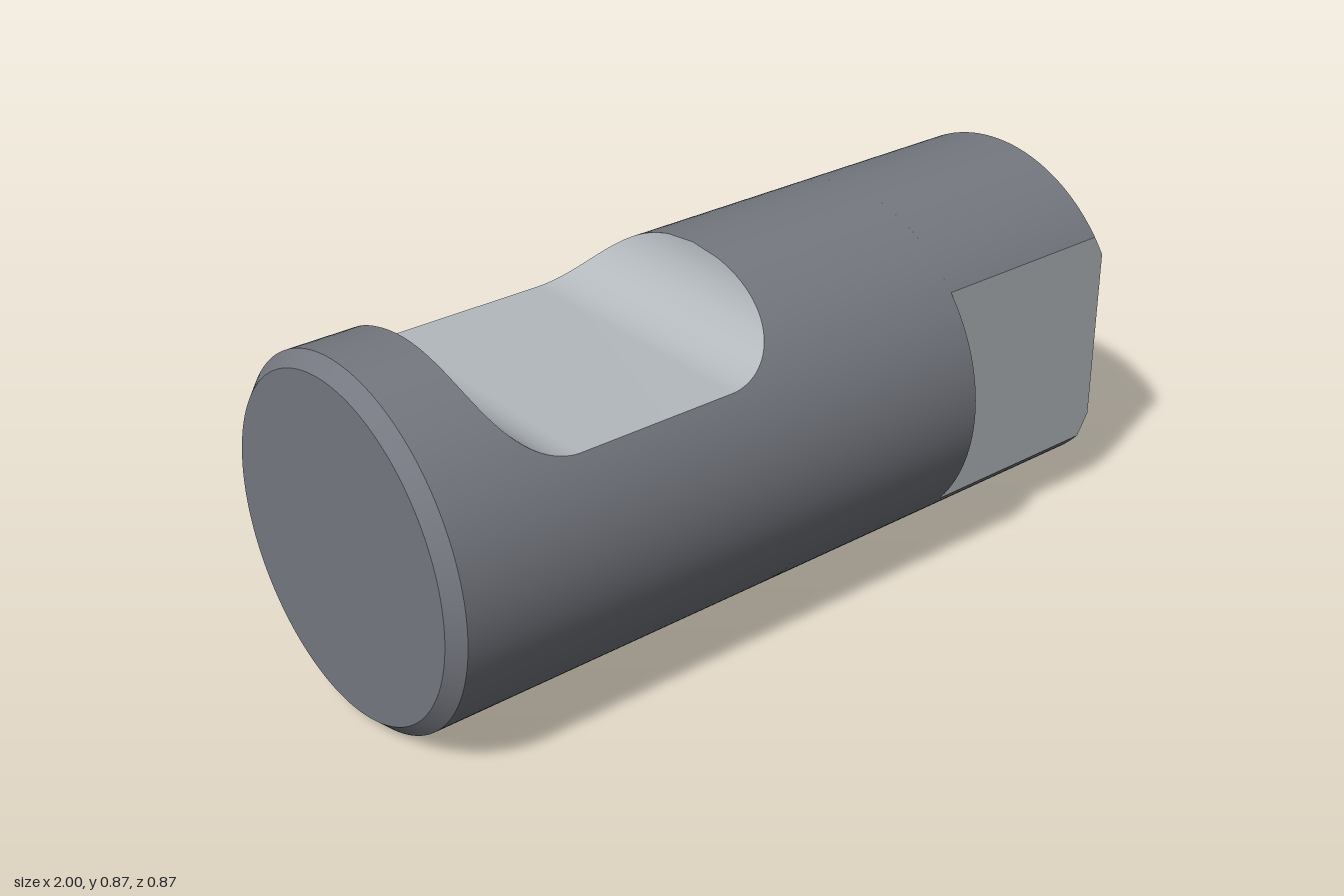
import * as THREE from 'three';

const R = 0.433, CH = 0.033;            // shaft radius, end chamfer
const NOTCH = [-0.8, -0.032], DEPTH = 0.183;
const FLAT_X = 0.469, FLAT_Z = 0.333;
const ARC = 160, UP = Math.PI / 2, FRONT = 0;

// Quad strip surface between rows of [x, y, z] points
function surface(rows, normalAt) {
  const n = rows[0].length, pos = rows.flat(2), index = [];
  for (let i = 0; i < rows.length - 1; i++) {
    for (let j = 0; j < n - 1; j++) {
      const a = i * n + j, b = a + n;
      index.push(a, b, b + 1, a, b + 1, a + 1);
    }
  }
  const g = new THREE.BufferGeometry();
  g.setAttribute('position', new THREE.Float32BufferAttribute(pos, 3));
  g.setIndex(index);
  if (normalAt) {
    g.setAttribute('normal', new THREE.Float32BufferAttribute(rows.flat().flatMap(normalAt), 3));
  } else g.computeVertexNormals();
  return g;
}

// Points on a circle about the shaft axis, angle measured from +z towards +y
const arcRow = (x, r, from, to, n) => Array.from({ length: n + 1 }, (_, j) => {
  const t = from + (to - from) * j / n;
  return [x, r * Math.sin(t), r * Math.cos(t)];
});

// Half angle removed from a circle of radius r by a plane at distance h
const cutAngle = (r, h) => Math.acos(Math.min(1, h / r));

// Round skin through sections [x, radius, plane distance]; slope tilts normals along x
function skin(sections, dir, slope = 0) {
  const rows = sections.map(([x, r, h]) => {
    const a = cutAngle(r, h);
    return arcRow(x, r, dir + a, dir + 2 * Math.PI - a, ARC);
  });
  const len = Math.hypot(1, slope);
  return surface(rows, ([, y, z]) => {
    const r = Math.hypot(y, z) * len;
    return [slope / len, y / r, z / r];
  });
}

// Planed surface left by the cut through the same sections
function cutFace(sections, dir) {
  return surface(sections.map(([x, r, h]) => {
    const a = cutAngle(r, h);
    return arcRow(x, r, dir - a, dir + a, 1);
  }));
}

// Flat disc or circular segment, facing +x or -x
function disc(x, r, from, to, side) {
  const s = new THREE.Shape().absarc(0, 0, r, from, to, false);
  return new THREE.ShapeGeometry(s, ARC).rotateY(side * Math.PI / 2).translate(x, 0, 0);
}

export function createModel() {
  const model = new THREE.Group();
  model.name = 'notchedPin';
  const steel = new THREE.MeshStandardMaterial({ color: 0x757880 });
  const machined = new THREE.MeshStandardMaterial({ color: 0xb3b9bd });
  const add = (name, geometry, material = steel) => {
    const mesh = new THREE.Mesh(geometry, material);
    mesh.name = name;
    mesh.position.y = R;
    model.add(mesh);
  };

  // Notch profile: quarter round down, level floor, quarter round up
  const notch = [];
  const STEPS = 32;
  for (let i = 0; i <= STEPS; i++) {
    const t = i / STEPS * Math.PI / 2;
    notch.push([NOTCH[0] + DEPTH * (1 - Math.cos(t)), R, R - DEPTH * Math.sin(t)]);
  }
  for (let i = STEPS; i >= 0; i--) {
    const t = i / STEPS * Math.PI / 2;
    notch.push([NOTCH[1] - DEPTH * (1 - Math.cos(t)), R, R - DEPTH * Math.sin(t)]);
  }

  // Left end
  add('leftEndFace', disc(-1, R - CH, 0, Math.PI * 2, -1));
  add('leftChamfer', skin([[-1, R - CH, R], [-1 + CH, R, R]], UP, -1));
  add('leftShaft', skin([[-1 + CH, R, R], [NOTCH[0], R, R]], UP));

  // Notched length
  add('notchShaft', skin(notch, UP));
  add('notchSurface', cutFace(notch, UP), machined);
  add('middleShaft', skin([[NOTCH[1], R, R], [FLAT_X, R, R]], UP));

  // Length with the front flat; the chamfer narrows the flat towards the end
  const flat = [[FLAT_X, R, FLAT_Z], [1 - CH, R, FLAT_Z]];
  const tip = [];
  for (let i = 0; i <= 6; i++) tip.push([1 - CH + CH * i / 6, R - CH * i / 6, FLAT_Z]);
  const wall = cutAngle(R, FLAT_Z), end = cutAngle(R - CH, FLAT_Z);
  add('flatShaft', skin(flat, FRONT));
  add('rightChamfer', skin(tip, FRONT, 1));
  add('frontFlat', cutFace([...flat, ...tip.slice(1)], FRONT), machined);
  add('flatShoulder', disc(FLAT_X, R, Math.PI - wall, Math.PI + wall, 1), machined);
  add('rightEndFace', disc(1, R - CH, -Math.PI + end, Math.PI - end, 1));
  return model;
}
